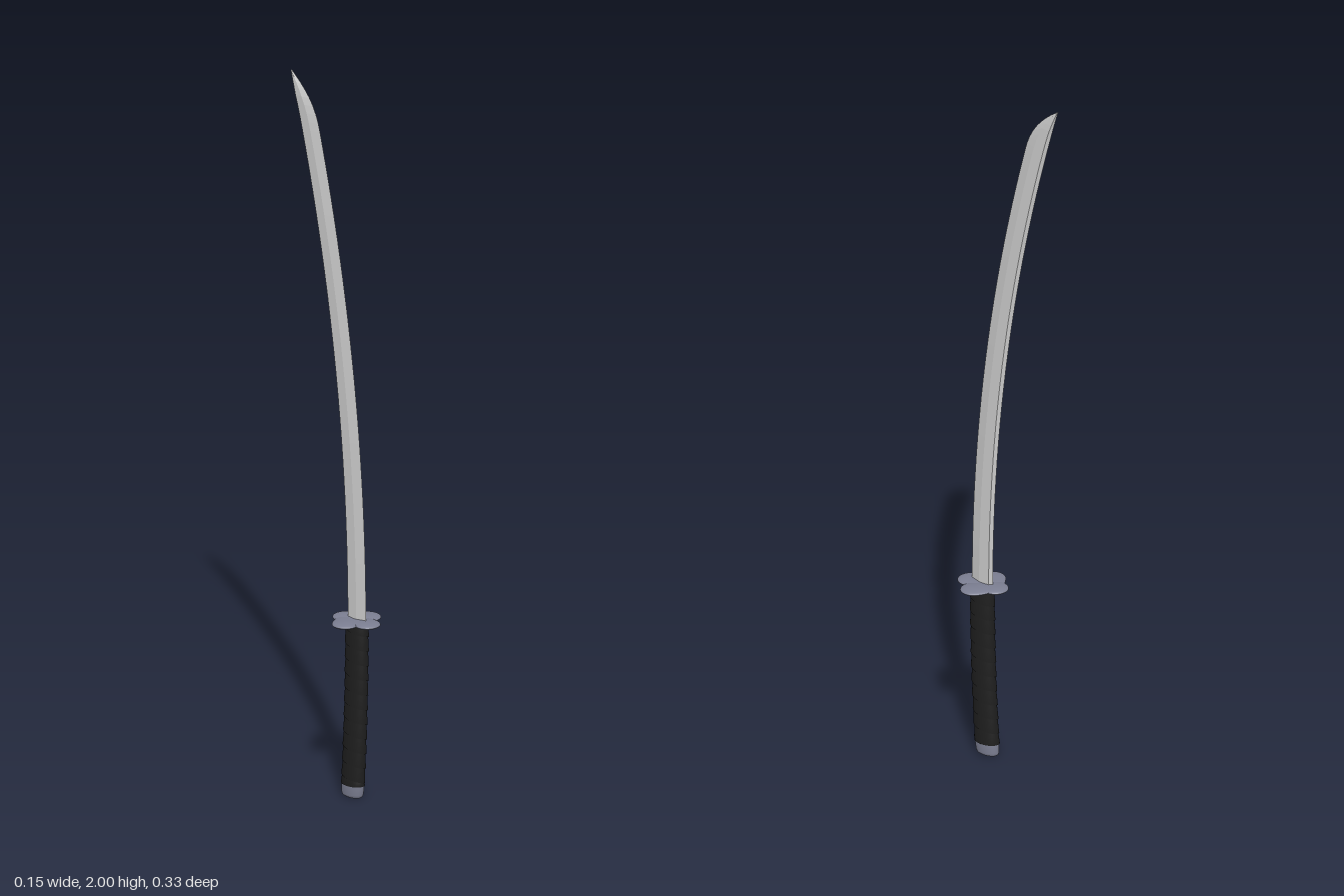
import * as THREE from 'three';

const steel = new THREE.MeshStandardMaterial({ color: 0xcccccc, flatShading: true });
const iron = new THREE.MeshStandardMaterial({ color: 0x7a7d90 });
const cloth = new THREE.MeshStandardMaterial({ color: 0x1e1e1e, side: THREE.DoubleSide });

// Skin rows of [x, y, z] points; closed joins the row ends and caps first and last row
function loft(rows, closed = true) {
  const n = rows[0].length, pos = rows.flat(2), idx = [];
  const cols = closed ? n : n - 1;
  for (let i = 0; i < rows.length - 1; i++) {
    for (let j = 0; j < cols; j++) {
      const a = i * n + j, d = i * n + (j + 1) % n;
      idx.push(a, a + n, d, d, a + n, d + n);
    }
  }
  if (closed) {
    [rows[0], rows[rows.length - 1]].forEach((row, end) => {
      const start = pos.length / 3;
      pos.push(...row.flat());
      for (let j = 1; j < n - 1; j++) {
        idx.push(start, start + j + (end ? 1 : 0), start + j + (end ? 0 : 1));
      }
    });
  }
  const g = new THREE.BufferGeometry();
  g.setAttribute('position', new THREE.Float32BufferAttribute(pos, 3));
  g.setIndex(idx);
  g.computeVertexNormals();
  return g;
}

// Gently curving centre line and oval section of the grip
const gripZ = y => 0.09 - 0.018 * (1 - y / 0.5) ** 2;
const gripPoint = (angle, y, grow) => [
  (0.023 + grow) * Math.cos(angle), y, gripZ(y) + (0.035 + grow) * Math.sin(angle)];
const oval = (y, grow) =>
  Array.from({ length: 32 }, (_, j) => gripPoint(j / 32 * Math.PI * 2, y, grow));

// Blade: six-sided section, edge towards +z, sweeping back to a curved point
function bladeGeometry() {
  const rows = [];
  const section = (y, width) => {
    const back = 0.055 - 0.22 * ((y - 0.5) / 1.5) ** 2;
    const s = width / 0.07, t = 0.008 * Math.min(1, 0.25 + s), front = back + width;
    rows.push([
      [0, y, front], [-t, y, front - 0.03 * s], [-t, y, back + 0.008 * s],
      [0, y, back], [t, y, back + 0.008 * s], [t, y, front - 0.03 * s]]);
  };
  for (let i = 0; i <= 24; i++) section(0.5 + 1.35 * i / 24, 0.07);
  for (let i = 1; i <= 10; i++) {
    const k = Math.sin(i / 10 * Math.PI / 2);
    section(1.85 + 0.15 * k, 0.07 * Math.max(0.005, 1 - k ** 2.6));
  }
  return loft(rows);
}

// Grip wrap: one overlapping band wound up the handle
function wrapGeometry() {
  const rows = [], turns = 11, low = 0.035, high = 0.497;
  const pitch = (high - low) / turns;
  for (let i = 0; i <= (turns + 1) * 32; i++) {
    const a = i / 32 * Math.PI * 2, y = low + (i / 32 - 1) * pitch;
    const clamp = v => Math.min(high, Math.max(low, v));
    rows.push([
      gripPoint(a, clamp(y), 0), gripPoint(a, clamp(y), 0.003),
      gripPoint(a, clamp(y + pitch), 0.0005)]);
  }
  return loft(rows, false);
}

// Guard lobe: flattened dome drawn out to a taper on its inner side
function lobeGeometry(stretch) {
  const g = new THREE.SphereGeometry(0.036, 40, 20);
  const p = g.attributes.position;
  for (let i = 0; i < p.count; i++) {
    const z = p.getZ(i);
    p.setY(i, p.getY(i) * 0.24);
    if (z < 0) p.setZ(i, z * stretch);
  }
  g.computeVertexNormals();
  return g;
}

export function createModel() {
  const model = new THREE.Group();
  const add = (name, geometry, material, parent = model) => {
    const mesh = new THREE.Mesh(geometry, material);
    mesh.name = name;
    parent.add(mesh);
    return mesh;
  };

  add('blade', bladeGeometry(), steel);

  // Four lobes: name, x, z, turn about y, inner stretch
  const guard = new THREE.Group();
  guard.name = 'guard';
  model.add(guard);
  [
    ['frontLobe', 0, 0.129, 0, 2.2],
    ['backLobe', 0, 0.047, Math.PI, 1.8],
    ['leftLobe', 0.041, 0.088, 0.9, 2],
    ['rightLobe', -0.041, 0.088, -0.9, 2],
  ].forEach(([name, x, z, turn, stretch]) => {
    const lobe = add(name, lobeGeometry(stretch), iron, guard);
    lobe.position.set(x, 0.502, z);
    lobe.rotation.y = turn;
  });

  // Grip and pommel
  const core = Array.from({ length: 13 }, (_, i) => oval(0.03 + 0.467 * i / 12, -0.0005));
  add('gripCore', loft(core), cloth);
  add('gripWrap', wrapGeometry(), cloth);
  const cap = [[0, -0.006], [0.003, -0.002], [0.009, 0], [0.032, 0.0012], [0.038, 0]];
  add('pommelCap', loft(cap.map(([y, grow]) => oval(y, grow))), iron);

  return model;
}
